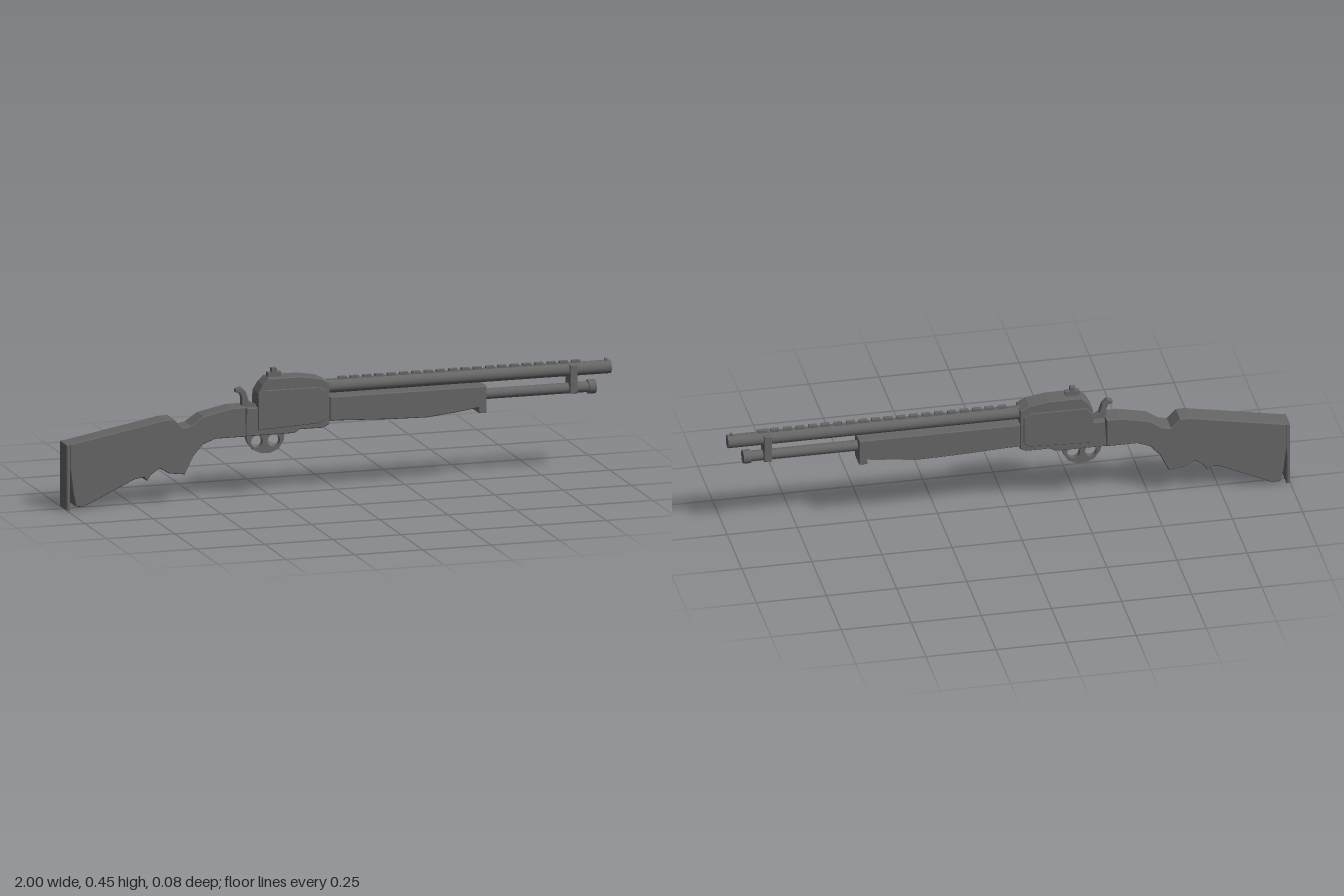
import * as THREE from 'three';

export function createModel() {
  const model = new THREE.Group();
  const grey = new THREE.MeshStandardMaterial({ color: 0x666666 });
  grey.name = 'gunmetal grey';

  function add(name, geometry, x = 0, y = 0, z = 0) {
    const mesh = new THREE.Mesh(geometry, grey);
    mesh.name = name;
    mesh.position.set(x, y, z);
    model.add(mesh);
    return mesh;
  }

  // Side profile extruded symmetrically across z, with a small chamfer
  function profile(name, points, halfWidth, bevel = 0.003, holes = []) {
    const shape = new THREE.Shape(points.map(([x, y]) => new THREE.Vector2(x, y)));
    shape.holes.push(...holes);
    const depth = 2 * (halfWidth - bevel);
    const geometry = new THREE.ExtrudeGeometry(shape, {
      depth, bevelEnabled: bevel > 0, bevelThickness: bevel,
      bevelSize: bevel, bevelOffset: -bevel, bevelSegments: 1, curveSegments: 10,
    });
    geometry.translate(0, 0, -depth / 2);
    return add(name, geometry);
  }

  function box(name, x0, x1, y0, y1, halfWidth) {
    return add(name, new THREE.BoxGeometry(x1 - x0, y1 - y0, halfWidth * 2), (x0 + x1) / 2, (y0 + y1) / 2);
  }

  function rod(name, x0, x1, y, radius) {
    const geometry = new THREE.CylinderGeometry(radius, radius, x1 - x0, 20).rotateZ(-Math.PI / 2);
    return add(name, geometry, (x0 + x1) / 2, y);
  }

  // Shoulder stock with a notched lower edge and a separate butt pad
  profile('stock', [
    [-0.987, 0.236], [-0.64, 0.30], [-0.607, 0.30], [-0.575, 0.267], [-0.545, 0.273],
    [-0.50, 0.303], [-0.445, 0.315], [-0.395, 0.325], [-0.345, 0.325], [-0.345, 0.22],
    [-0.455, 0.22], [-0.50, 0.203], [-0.535, 0.165], [-0.567, 0.10], [-0.625, 0.107],
    [-0.66, 0.128], [-0.69, 0.107], [-0.705, 0.085], [-0.717, 0.10], [-0.75, 0.095],
    [-0.94, 0.008], [-0.966, 0.012], [-0.975, 0.05], [-0.987, 0.145],
  ], 0.039);
  profile('buttPad', [[-1, 0], [-0.987, 0], [-0.987, 0.236], [-1, 0.234]], 0.04, 0.002);

  // Receiver with raised side panels
  profile('receiver', [
    [-0.345, 0.22], [-0.165, 0.22], [-0.145, 0.232], [-0.06, 0.232], [-0.037, 0.243],
    [-0.037, 0.393], [-0.07, 0.41], [-0.14, 0.421], [-0.257, 0.421], [-0.28, 0.40],
    [-0.298, 0.37], [-0.298, 0.32], [-0.34, 0.32],
  ], 0.0355);
  profile('receiverPanels', [
    [-0.298, 0.24], [-0.07, 0.25], [-0.05, 0.265], [-0.05, 0.365], [-0.075, 0.38],
    [-0.275, 0.38], [-0.298, 0.355],
  ], 0.038, 0.002);

  // Hammer
  profile('hammer', [
    [-0.372, 0.385], [-0.352, 0.392], [-0.335, 0.375], [-0.325, 0.342], [-0.298, 0.325],
    [-0.298, 0.30], [-0.35, 0.30], [-0.35, 0.352], [-0.358, 0.372], [-0.372, 0.374],
  ], 0.011, 0.002);

  // Trigger guard: a rounded loop whose central web is the trigger
  const leftHole = new THREE.Path().absellipse(-0.295, 0.193, 0.021, 0.022, 0, Math.PI * 2, true);
  const rightHole = new THREE.Path().absellipse(-0.233, 0.193, 0.023, 0.022, 0, Math.PI * 2, true);
  profile('triggerGuard', [
    [-0.338, 0.224], [-0.328, 0.19], [-0.307, 0.163], [-0.278, 0.150], [-0.245, 0.150],
    [-0.215, 0.163], [-0.197, 0.19], [-0.193, 0.224],
  ], 0.0105, 0, [leftHole, rightHole]);

  // Rear sight
  box('rearSightBase', -0.255, -0.205, 0.418, 0.437, 0.011);
  box('rearSightBlade', -0.24, -0.222, 0.435, 0.452, 0.011);

  // Fore-end grip with a lip at the muzzle end
  profile('foreEnd', [
    [-0.037, 0.255], [0, 0.255], [0.18, 0.247], [0.32, 0.244], [0.42, 0.254], [0.508, 0.266],
    [0.508, 0.247], [0.537, 0.247], [0.537, 0.342], [-0.037, 0.342],
  ], 0.041);

  // Barrel, magazine tube and the clamp joining them
  rod('barrel', -0.05, 1, 0.372, 0.024);
  rod('magazineTube', 0.5, 0.93, 0.305, 0.019);
  rod('magazineCap', 0.918, 0.945, 0.305, 0.025);
  profile('barrelBand', [[0.846, 0.29], [0.874, 0.29], [0.874, 0.392], [0.846, 0.392]], 0.03, 0.003);

  // Segmented top rib and bead sight
  box('topRib', -0.037, 0.89, 0.388, 0.397, 0.006);
  for (let i = 0; i < 20; i++) {
    const x = 0.005 + i * 0.045;
    box('ribSegment', x, x + 0.03, 0.394, 0.404, 0.008);
  }
  add('beadSight', new THREE.SphereGeometry(0.007, 10, 8), 0.985, 0.398);

  return model;
}
